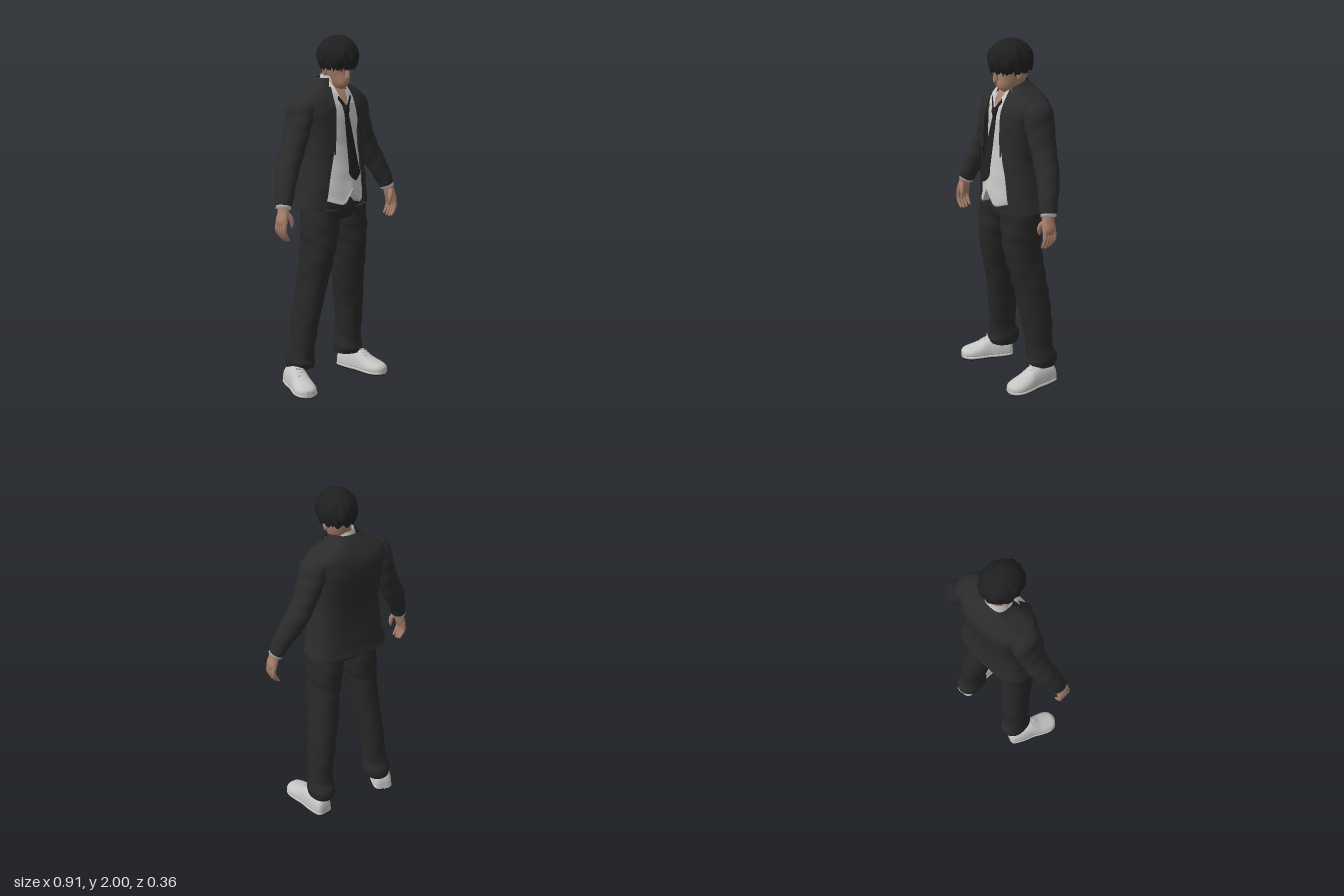
import * as THREE from 'three';
import { mergeVertices } from 'three/addons/utils/BufferGeometryUtils.js';

const mat = (name, color, side = THREE.FrontSide) => {
  const m = new THREE.MeshStandardMaterial({ color, side });
  m.name = name;
  return m;
};

// Catmull-Rom interpolation of every column of a list of section rows
function smooth(rows, n = 5) {
  const full = rows.map(r => [r[0], r[1], r[2], r[3], r[4], r[5] ?? r[4], r[6] ?? 0, r[7] ?? 0]);
  const out = [];
  for (let i = 0; i < full.length - 1; i++) {
    const [a, b, c, d] = [full[Math.max(i - 1, 0)], full[i], full[i + 1], full[Math.min(i + 2, full.length - 1)]];
    for (let k = 0; k < n; k++) {
      const t = k / n;
      out.push(b.map((_, j) => b[j] + 0.5 * t * (c[j] - a[j] + t * (2 * a[j] - 5 * b[j] + 4 * c[j] - d[j] + t * (3 * (b[j] - c[j]) + d[j] - a[j])))));
    }
  }
  out.push(full[full.length - 1]);
  return out;
}

// Rows: x, y, z, half width, front depth, back depth, opening left edge, opening right edge
function loft(rows, { seg = 24, p = 1, folds = 0, open = false, ref = [0, 0, 1], n = 5, warp } = {}) {
  const R = smooth(rows, n), pos = [], idx = [], w = open ? seg + 1 : seg;
  const up = new THREE.Vector3(...ref), at = r => new THREE.Vector3(r[0], r[1], r[2]);
  const pw = v => Math.sign(v) * Math.abs(v) ** p;
  R.forEach((r, i) => {
    const t = at(R[Math.min(i + 1, R.length - 1)]).sub(at(R[Math.max(i - 1, 0)])).normalize();
    const u = t.clone().cross(up).normalize(), v = u.clone().cross(t);
    const gap = e => Math.asin(Math.min(1, Math.abs(e / r[3]) ** (1 / p)));
    const a0 = open ? gap(r[7]) : 0, a1 = Math.PI * 2 - (open ? gap(r[6]) : 0);
    for (let j = 0; j < w; j++) {
      const th = a0 + (a1 - a0) * j / seg, c = Math.cos(th);
      const f = 1 + folds * (Math.sin(r[1] * 62 + 2 * th) + 0.6 * Math.sin(r[1] * 31 - 3 * th));
      const q = at(r).addScaledVector(u, pw(Math.sin(th)) * r[3] * f).addScaledVector(v, pw(c) * (c > 0 ? r[4] : r[5]) * f);
      if (warp) warp(q, i / (R.length - 1));
      pos.push(q.x, q.y, q.z);
    }
  });
  for (let i = 0; i < R.length - 1; i++) for (let j = 0; j < seg; j++) {
    const a = i * w + j, b = i * w + (j + 1) % w;
    idx.push(a, b, b + w, a, b + w, a + w);
  }
  if (!open) [0, R.length - 1].forEach((k, e) => {
    const c = pos.length / 3;
    pos.push(R[k][0], R[k][1], R[k][2]);
    for (let j = 0; j < seg; j++) {
      const a = k * w + j, b = k * w + (j + 1) % w;
      e ? idx.push(c, a, b) : idx.push(c, b, a);
    }
  });
  return finish(pos, idx);
}

function finish(pos, idx) {
  const g = new THREE.BufferGeometry();
  g.setAttribute('position', new THREE.Float32BufferAttribute(pos, 3));
  g.setIndex(idx);
  g.computeVertexNormals();
  return g;
}

// Thin strip through pairs of points listed from top to bottom, left pair point first
function ribbon(pairs) {
  const idx = [];
  for (let i = 0; i < pairs.length - 1; i++) idx.push(2 * i, 2 * i + 2, 2 * i + 1, 2 * i + 1, 2 * i + 2, 2 * i + 3);
  return finish(pairs.flat(2), idx);
}

export function createModel() {
  const D = THREE.DoubleSide;
  const jacketMat = mat('jacket charcoal', 0x2b2b2b, D), trouserMat = mat('trouser charcoal', 0x282829);
  const hairMat = mat('hair black', 0x1f1f1f, D), tieMat = mat('tie black', 0x1f1f21, D);
  const shirtMat = mat('shirt grey white', 0xc4c4c4, D), shoeMat = mat('shoe white', 0xc6c6c4);
  const skinMat = mat('skin', 0xa87f6a, D), soleMat = mat('sole black', 0x191919), lipMat = mat('lip', 0x80594b);
  const model = new THREE.Group();
  const add = (name, geo, m, parent = model, at = [0, 0, 0]) => {
    const mesh = new THREE.Mesh(geo, m);
    mesh.name = name;
    mesh.position.set(...at);
    parent.add(mesh);
    return mesh;
  };

  // Jacket shell, open down the front
  const P = 0.7;
  const jacketRows = [
    [1.05, .243, .115, -.165, -.165, .15], [1.12, .224, .12, -.155, -.145, .13], [1.25, .203, .122, -.147, -.125, .112],
    [1.37, .193, .122, -.153, -.105, .087], [1.5, .2, .118, -.172, -.1, .08], [1.6, .218, .106, -.178, -.09, .075],
    [1.66, .22, .08, -.165, -.085, .07], [1.70, .165, .052, -.145, -.08, .07], [1.735, .1, .035, -.12, -.06, .06],
    [1.768, .07, .025, -.093, -.05, .05],
  ].map(([y, a, f, b, l, r]) => [0, y, -.03, a, f + .03, -b - .03, l, r]);
  add('jacketBody', loft(jacketRows, { seg: 56, p: P, open: true, folds: .006 }), jacketMat);
  const fine = smooth(jacketRows, 12);
  const rowAt = y => fine.reduce((m, r) => Math.abs(r[1] - y) < Math.abs(m[1] - y) ? r : m);
  const onJacket = (x, y, off = .009) => {
    const r = rowAt(y), k = Math.min(.98, Math.abs(x) / r[3]);
    return [x, y, r[2] + r[4] * (1 - k ** (2 / P)) ** (P / 2) + off];
  };

  for (const s of [1, -1]) {
    const side = s > 0 ? 'left' : 'right';
    // Notched lapel following the front edge
    const lapel = [[1.725, .018], [1.66, .035], [1.615, .04], [1.605, .03], [1.59, .062], [1.55, .052], [1.45, .025], [1.36, .002]];
    add(side + 'Lapel', ribbon(lapel.map(([y, w]) => {
      const e = s > 0 ? rowAt(y)[7] : rowAt(y)[6];
      const pair = [onJacket(e - s * .004, y, .01), onJacket(e + s * w, y, .01)];
      return s > 0 ? pair : pair.reverse();
    })), jacketMat);
    // Hip pocket flap
    add(side + 'PocketFlap', ribbon([1.225, 1.18].map(y => [.185, .15].map(x => onJacket(s * x, y)))), jacketMat);

    // Sleeve, cuff
    const X = rows => rows.map(([x, ...r]) => [s * x, ...r]);
    add(side + 'Sleeve', loft(X([
      [.14, 1.65, -.038, .035, .07, .08], [.195, 1.616, -.042, .066, .092], [.224, 1.54, -.042, .062, .09], [.264, 1.42, -.037, .061, .076],
      [.303, 1.34, -.03, .062, .07], [.345, 1.26, -.012, .058, .064], [.385, 1.17, .015, .049, .055], [.409, 1.108, .03, .041, .048],
    ]), { folds: .022, n: 7 }), jacketMat);
    add(side + 'Cuff', loft(X([[.4, 1.135, .025, .036, .042], [.415, 1.092, .033, .038, .045]]), { n: 2 }), shirtMat);

    // Hand with curled fingers
    const hand = new THREE.Group();
    hand.name = side + 'Hand';
    model.add(hand);
    add('palm', loft(X([[.412, 1.12, .033, .024, .03], [.422, 1.07, .04, .024, .038], [.434, 1.03, .042, .023, .042], [.436, 1.0, .042, .014, .038]]), { seg: 16 }), skinMat, hand);
    for (let i = 0; i < 4; i++) {
      const z = .012 + i * .02, l = [.012, .003, 0, .006][i];
      add('finger', loft(X([[.434, 1.03, z, .013, .012], [.441, .985, z, .012, .011], [.43, .945 + l, z, .011, .01], [.409, .917 + l, z, .006, .006]]), { seg: 10, n: 4 }), skinMat, hand);
    }
    add('thumb', loft(X([[.415, 1.075, .06, .014, .015], [.397, 1.045, .074, .014, .014], [.39, 1.015, .076, .011, .011], [.39, .992, .074, .005, .005]]), { seg: 10, n: 4 }), skinMat, hand);

    // Shirt collar leaf
    add(side + 'CollarLeaf', ribbon([
      [[s * .045, 1.765, -.01], [s * .075, 1.745, -.03]], [[s * .042, 1.725, .05], [s * .08, 1.71, .05]],
      [[s * .03, 1.67, .085], [s * .082, 1.665, .075]], [[s * .022, 1.635, .098], [s * .065, 1.63, .097]],
    ]), shirtMat);
    // Tie band running up under the collar
    add('tieBand', ribbon([[[s * .045, 1.68, .086], [s * .052, 1.66, .088]], [[0, 1.615, .108], [s * .01, 1.595, .11]]]), tieMat);
  }
  add('breastPocket', ribbon([1.535, 1.505].map(y => [onJacket(.118, y), onJacket(.172, y + .008)])), jacketMat);
  add('jacketButton', new THREE.SphereGeometry(.009, 10, 8), soleMat, model, onJacket(-.12, 1.36, .002));

  // Untucked shirt with a notched hem
  add('shirt', loft([
    [0, 1.078, 0, .17, .16, .1], [0, 1.2, 0, .17, .14, .105], [0, 1.4, -.02, .165, .13, .125], [0, 1.55, -.02, .17, .122, .13],
    [0, 1.65, -.03, .15, .105, .12], [0, 1.715, -.03, .07, .06, .07],
  ], { seg: 64, n: 8, folds: .008, warp: (q, t) => {
    const lift = Math.max(0, .055 - Math.abs(q.x)) * 1.6 + Math.max(0, Math.abs(q.x) - .075) * .35;
    q.y += lift * Math.max(0, 1 - t * 4);
  } }), shirtMat);
  add('shirtCollarStand', loft([[0, 1.70, -.03, .07, .07, .07, -.03, .03], [.003, 1.75, -.025, .06, .06, .063, -.035, .035], [.006, 1.778, -.022, .057, .055, .06, -.04, .04]],
    { seg: 32, open: true }), shirtMat);

  // Loose tie hanging clear of the shirt
  const tieRows = [[1.58, .014], [1.5, .022], [1.4, .03], [1.3, .037], [1.25, .042], [1.212, .004]];
  add('tie', loft(tieRows.map(([y, w]) => [0, y, .104 + (1.58 - y) * .2, w, .004]).reverse(), { seg: 16, p: .6, n: 3 }), tieMat);
  add('tieKnot', loft([[0, 1.572, .106, .014, .008], [0, 1.6, .105, .021, .013], [0, 1.622, .098, .024, .011]], { seg: 12 }), tieMat);

  // Trousers
  add('trouserSeat', loft([[0, .965, 0, .025, .055], [0, .985, 0, .09, .094], [0, 1.01, 0, .165, .114, .11], [0, 1.07, 0, .196, .122, .116], [0, 1.16, 0, .18, .105]], { seg: 40, p: .85 }), trouserMat);
  const legs = {
    left: [[.2, .105, -.078, .07, .082], [.198, .15, -.08, .078, .097], [.195, .22, -.07, .068, .08], [.183, .4, -.057, .072, .092], [.153, .6, -.033, .081, .1], [.126, .8, 0, .084, .112], [.113, .92, .003, .097, .119], [.1, 1.05, .003, .099, .118]],
    right: [[-.19, .105, -.078, .07, .082], [-.19, .15, -.08, .076, .097], [-.187, .22, -.07, .066, .08], [-.167, .4, -.057, .067, .09], [-.143, .6, -.031, .073, .098], [-.126, .8, 0, .084, .112], [-.113, .92, .003, .097, .119], [-.1, 1.05, .003, .099, .118]],
  };
  for (const k in legs) add(k + 'TrouserLeg', loft(legs[k], { folds: .02, n: 9, p: .92 }), trouserMat);

  // Shoes
  const shoe = (name, x, z, turn, scale) => {
    const g = new THREE.Group();
    g.name = name;
    g.position.set(x, 0, z);
    g.rotation.y = turn;
    g.scale.set(1.07, 1, scale);
    model.add(g);
    const up = [[-.157, .025, .03], [-.14, .046, .075], [-.07, .054, .1], [.0, .053, .095], [.06, .059, .062], [.115, .06, .042], [.155, .045, .03], [.174, .018, .014]];
    add('upper', loft(up.map(([z, w, h]) => [0, .03, z, w, h, .022]), { ref: [0, 1, 0], p: .88 }), shoeMat, g);
    add('sole', loft(up.map(([z, w]) => [0, .004, z, w, .004]), { ref: [0, 1, 0], p: .6 }), soleMat, g);
    add('welt', loft(up.map(([z, w]) => [0, .015, z, w * 1.05, .011]), { ref: [0, 1, 0], p: .6 }), shoeMat, g);
    for (let i = 0; i < 4; i++) {
      const lace = add('lace', new THREE.CapsuleGeometry(.004, .04, 4, 8), shoeMat, g, [0, .125 - i * .015, .005 + i * .021]);
      lace.rotation.z = Math.PI / 2 + (i % 2 ? .2 : -.2);
    }
  };
  shoe('rightShoe', -.26, -.015, -.39, .94);
  shoe('leftShoe', .232, .002, .12, 1);

  // Neck and open throat
  add('neck', loft([[0, 1.66, -.02, .055, .055], [.006, 1.73, -.02, .05, .053], [.02, 1.83, -.015, .05, .06]]), skinMat);
  add('throat', ribbon([[[-.04, 1.715, .045], [.04, 1.715, .045]], [[-.026, 1.665, .082], [.026, 1.665, .082]], [[-.003, 1.622, .1], [.003, 1.622, .1]]]), skinMat);

  // Head, turned slightly to its right
  const head = new THREE.Group();
  head.name = 'head';
  head.position.set(.025, 1.85, 0);
  head.rotation.y = -.15;
  model.add(head);
  add('face', loft([
    [0, -.133, .07, .018, .024, .03], [0, -.115, .058, .037, .047, .06], [0, -.075, .025, .061, .084, .08], [0, -.03, .005, .074, .106, .092],
    [0, .04, 0, .08, .108, .1], [0, .1, 0, .055, .07],
  ]), skinMat, head);
  add('nose', loft([[0, -.08, .1, .012, .014], [0, -.071, .103, .013, .016], [0, -.025, .104, .007, .01]], { seg: 12 }), skinMat, head);
  add('mouth', new THREE.SphereGeometry(1, 12, 8), lipMat, head, [0, -.099, .1]).scale.set(.02, .003, .005);
  for (const s of [1, -1]) add('ear', new THREE.SphereGeometry(1, 12, 10), skinMat, head, [s * .076, -.045, -.005]).scale.set(.01, .026, .016);

  // Hair cap with swept locks, tucked in toward the bottom
  let cap = new THREE.SphereGeometry(1, 72, 30, 0, Math.PI * 2, 0, Math.PI * .67);
  cap.deleteAttribute('uv');
  cap.deleteAttribute('normal');
  cap = mergeVertices(cap, 1e-4);
  const q = cap.attributes.position;
  for (let i = 0; i < q.count; i++) {
    const x = q.getX(i), y = q.getY(i), z = q.getZ(i), a = Math.atan2(x, z), r = Math.hypot(x, z);
    const k = 1 + .03 * r * Math.sin(a * 13 + y * 3) + .02 * r * Math.sin(a * 7 - y * 5);
    q.setXYZ(i, x * k * .109, .034 + y * .116 + (y < -.3 ? .01 * Math.sin(a * 11) : 0), .014 + z * k * .127);
  }
  cap.computeVertexNormals();
  add('hairCap', cap, hairMat, head);
  for (let i = 0; i < 26; i++) {
    const a = i / 26 * Math.PI * 2, len = .042 + .012 * Math.sin(i * 2.4);
    const lock = add('hairLock', new THREE.ConeGeometry(.019, len, 7), hairMat, head, [Math.sin(a) * .084, -.02, .014 + Math.cos(a) * .098]);
    lock.rotation.set(Math.PI + .25 * Math.cos(a), 0, .25 * Math.sin(i * 1.7));
  }
  return model;
}
